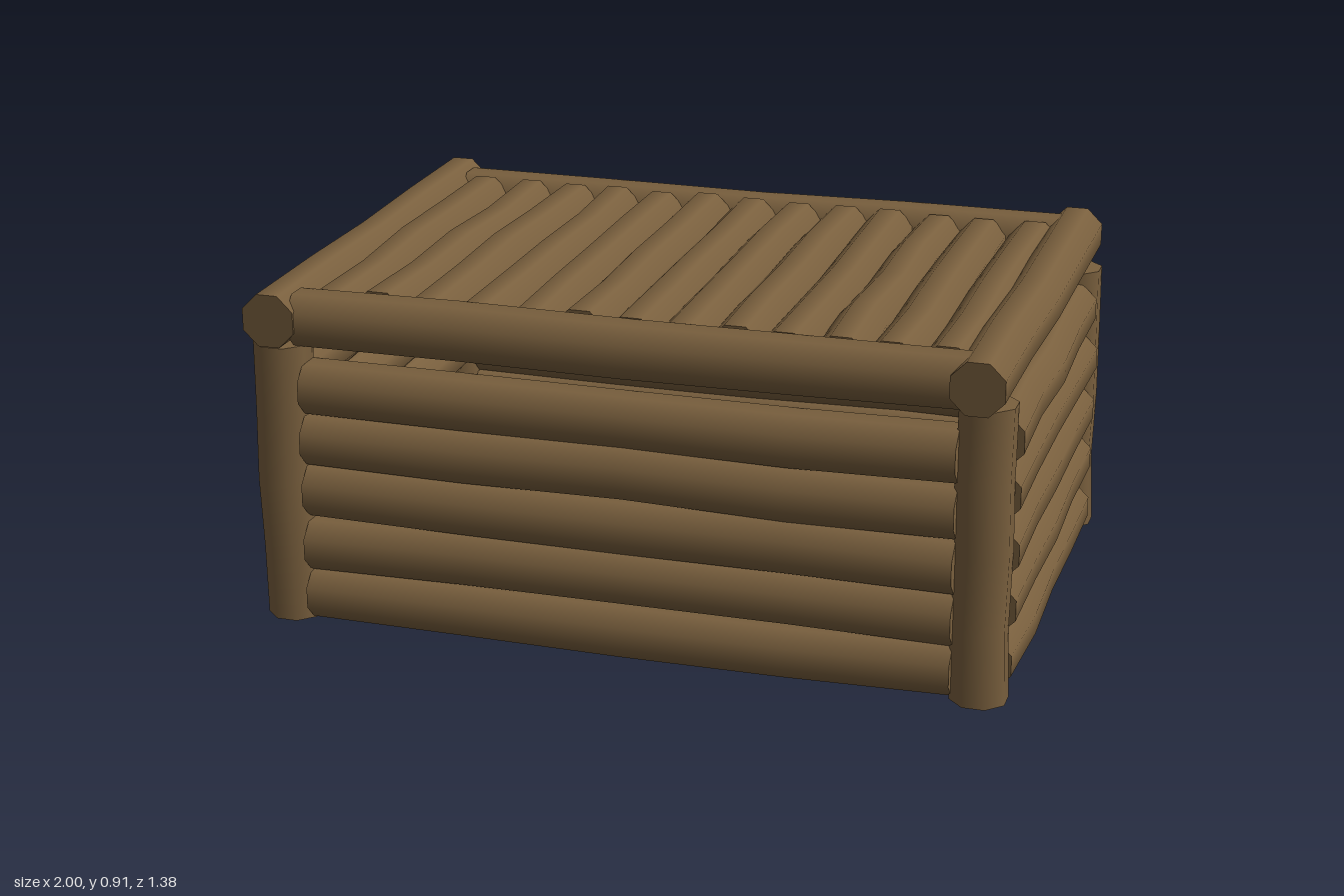
import * as THREE from 'three';

const RINGS = 4;

// Small seeded generator returning values in -1..1
function makeRandom(seed) {
  let s = seed;
  return () => {
    s = (s * 16807) % 2147483647;
    return (s / 2147483647) * 2 - 1;
  };
}

// Eight-sided log along y, each ring slightly shifted and resized
function logGeometry(length, radius, rand) {
  const g = new THREE.CylinderGeometry(radius, radius, length, 8, RINGS);
  g.rotateY(Math.PI / 8);
  const rings = Array.from({ length: RINGS + 1 }, () => ({
    dx: rand() * 0.005, dz: rand() * 0.005, scale: 1 + rand() * 0.035,
  }));
  const p = g.attributes.position;
  for (let i = 0; i < p.count; i++) {
    const ring = rings[Math.round((p.getY(i) / length + 0.5) * RINGS)];
    p.setX(i, p.getX(i) * ring.scale + ring.dx);
    p.setZ(i, p.getZ(i) * ring.scale + ring.dz);
  }
  return g;
}

export function createModel() {
  const model = new THREE.Group();
  model.name = 'logCrate';
  const wood = new THREE.MeshStandardMaterial({ color: 0x7a603e });
  wood.name = 'brown wood';
  const rand = makeRandom(4217);

  function addLog(parent, name, axis, length, x, y, z, radius = 0.074) {
    const g = logGeometry(length, radius, rand);
    if (axis === 'x') g.rotateZ(-Math.PI / 2);
    if (axis === 'z') g.rotateX(Math.PI / 2);
    const mesh = new THREE.Mesh(g, wood);
    mesh.name = name;
    mesh.position.set(x, y, z);
    parent.add(mesh);
  }

  function addGroup(name) {
    const group = new THREE.Group();
    group.name = name;
    model.add(group);
    return group;
  }

  // Corner posts
  const posts = addGroup('cornerPosts');
  for (const sx of [-1, 1]) {
    for (const sz of [-1, 1]) {
      const top = sx > 0 && sz > 0 ? 0.79 : 0.77;
      addLog(posts, 'cornerPost', 'y', top - 0.015, sx * 0.92, (top + 0.015) / 2, sz * 0.615);
    }
  }

  // Stacked wall logs on all four sides
  const walls = addGroup('walls');
  for (let i = 0; i < 5; i++) {
    for (const s of [-1, 1]) {
      addLog(walls, s > 0 ? 'frontWallLog' : 'backWallLog', 'x', 1.71, 0, 0.085 + i * 0.142, s * 0.615);
      addLog(walls, s > 0 ? 'leftWallLog' : 'rightWallLog', 'z', 1.11, s * 0.925, 0.085 + i * 0.147, 0);
    }
  }

  // Floor logs running lengthwise
  const floor = addGroup('floor');
  for (let i = 0; i < 8; i++) {
    addLog(floor, 'floorLog', 'x', 1.74, 0, 0.083, (i - 3.5) * 0.137);
  }

  // Roof frame
  const frame = addGroup('roofFrame');
  addLog(frame, 'leftRail', 'z', 1.38, 0.905, 0.847, 0);
  addLog(frame, 'rightRail', 'z', 1.38, -0.925, 0.847, 0);
  for (const s of [-1, 1]) {
    addLog(frame, s > 0 ? 'frontRail' : 'backRail', 'x', 1.75, 0, 0.84, s * 0.615);
  }

  // Roof logs running front to back
  const roof = addGroup('roof');
  for (let i = 0; i < 13; i++) {
    addLog(roof, 'roofLog', 'z', 1.13, (i - 6) * 0.134, 0.836, 0, 0.072);
  }

  return model;
}
